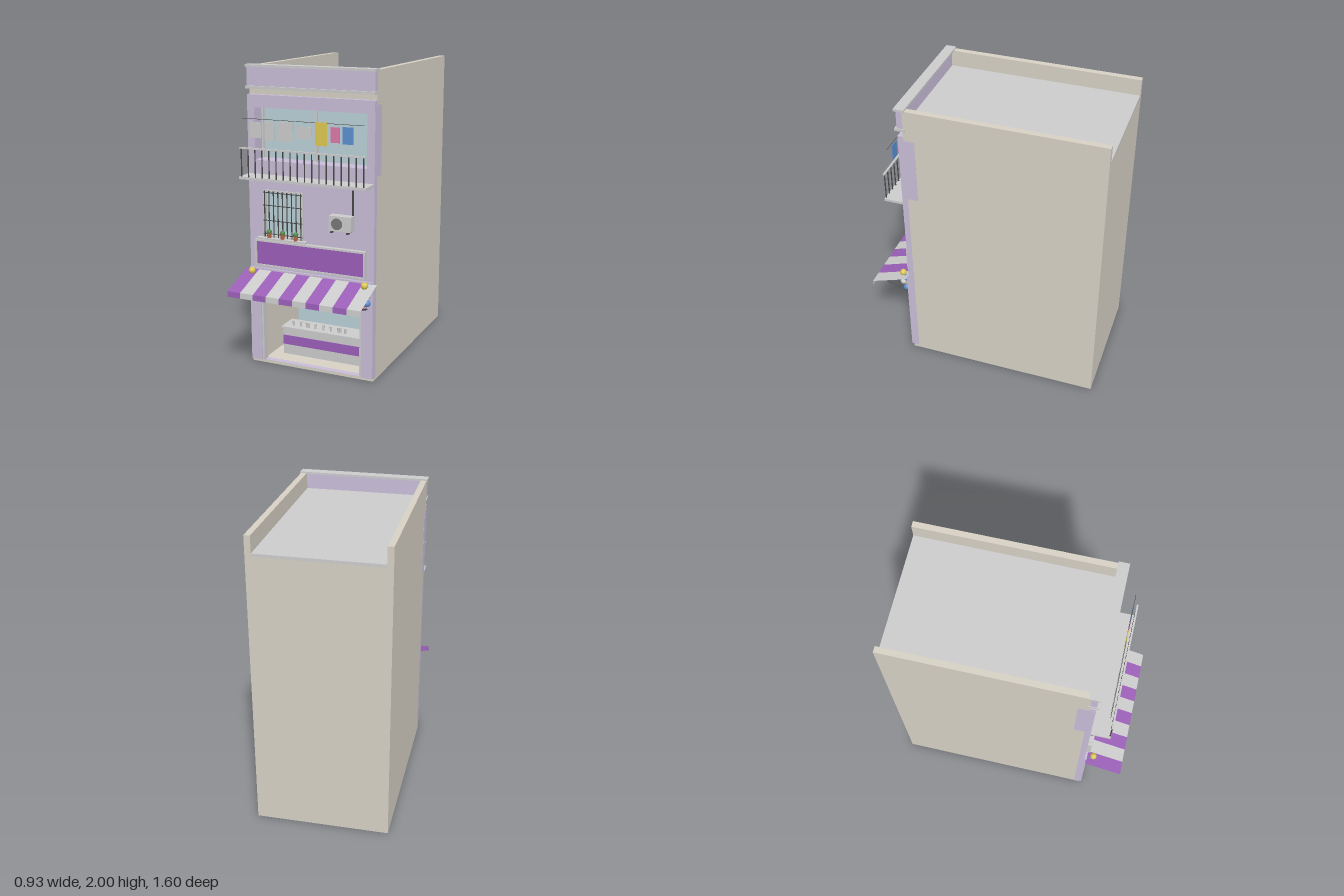
import * as THREE from 'three';

const GREY = 0xcccccc, BEIGE = 0xd6d0c4, LILAC = 0xc8bdd8, PURPLE = 0x9b5fb8, GLASS = 0xb9d0d6,
  DARK = 0x484848, YELLOW = 0xdcc850, PINK = 0xdc78a8, BLUE = 0x5a8fd0;
const mats = {};
function mat(color, double = false) {
  const key = color + (double ? 'd' : '');
  return mats[key] ??= new THREE.MeshStandardMaterial({ color, side: double ? THREE.DoubleSide : THREE.FrontSide });
}

export function createModel() {
  const root = new THREE.Group();
  let target = root;

  function add(name, geo, color, double) {
    const m = new THREE.Mesh(geo, mat(color, double));
    m.name = name;
    target.add(m);
    return m;
  }
  // box given by its extents
  function box(name, color, x0, x1, y0, y1, z0, z1) {
    const m = add(name, new THREE.BoxGeometry(x1 - x0, y1 - y0, z1 - z0), color);
    m.position.set((x0 + x1) / 2, (y0 + y1) / 2, (z0 + z1) / 2);
    return m;
  }
  // round bar between two points
  function bar(name, color, a, b, r) {
    const p = new THREE.Vector3(...a), q = new THREE.Vector3(...b);
    const m = add(name, new THREE.CylinderGeometry(r, r, p.distanceTo(q), 8), color);
    m.position.copy(p).add(q).multiplyScalar(0.5);
    m.quaternion.setFromUnitVectors(new THREE.Vector3(0, 1, 0), q.sub(p).normalize());
    return m;
  }
  // rectangular ring of four bars facing +z
  function frame(name, color, x0, x1, y0, y1, z0, z1, t) {
    box(name, color, x0, x1, y1 - t, y1, z0, z1);
    box(name, color, x0, x1, y0, y0 + t, z0, z1);
    box(name, color, x0, x0 + t, y0 + t, y1 - t, z0, z1);
    box(name, color, x1 - t, x1, y0 + t, y1 - t, z0, z1);
  }
  function group(name, build) {
    target = new THREE.Group();
    target.name = name;
    root.add(target);
    build();
    target = root;
  }
  function rect(path, x0, x1, y0, y1) {
    path.moveTo(x0, y0).lineTo(x1, y0).lineTo(x1, y1).lineTo(x0, y1).closePath();
    return path;
  }

  group('building', () => {
    box('floorSlab', BEIGE, -0.44, 0.44, 0, 0.02, -0.8, 0.53);
    for (const s of [-1, 1]) {
      const a = s * 0.4, b = s * 0.44;
      box('sideWall', BEIGE, Math.min(a, b), Math.max(a, b), 0.02, 1.99, -0.8, 0.49);
    }
    box('backWall', BEIGE, -0.4, 0.4, 0.02, 1.86, -0.8, -0.76);
    box('roof', GREY, -0.4, 0.4, 1.86, 1.88, -0.8, 0.49);
    box('upperBand', BEIGE, -0.44, 0.44, 1.8, 1.85, 0.45, 0.495);
    box('cornice', GREY, -0.445, 0.445, 1.847, 1.865, 0.475, 0.545);
    box('parapet', LILAC, -0.44, 0.44, 1.865, 1.985, 0.49, 0.53);
    box('parapetCap', GREY, -0.445, 0.445, 1.985, 2, 0.475, 0.545);
  });

  group('facade', () => {
    // full wall with holes for the shop and both windows
    const wall = rect(new THREE.Shape(), -0.44, 0.44, 0.02, 1.81);
    wall.holes.push(rect(new THREE.Path(), -0.36, 0.36, 0.021, 0.64),
      rect(new THREE.Path(), -0.33, -0.05, 0.89, 1.195),
      rect(new THREE.Path(), -0.39, 0.39, 1.34, 1.78));
    add('wall', new THREE.ExtrudeGeometry(wall, { depth: 0.04, bevelEnabled: false }), LILAC).position.z = 0.49;
    for (const s of [-1, 1]) {
      const x = s * 0.4;
      box('pillar', LILAC, x - 0.04, x + 0.04, 0.02, 0.64, 0.495, 0.545);
      box('doorJamb', GREY, s * 0.355 - 0.008, s * 0.355 + 0.008, 0.02, 0.64, 0.49, 0.54);
    }
    box('lintel', LILAC, -0.44, 0.44, 0.64, 0.67, 0.495, 0.545);
  });

  group('shop', () => {
    box('backWall', BEIGE, -0.4, 0.4, 0.02, 0.66, -0.04, 0);
    box('ceiling', BEIGE, -0.4, 0.4, 0.64, 0.66, 0, 0.49);
    box('leftLining', BEIGE, 0.36, 0.4, 0.02, 0.64, 0, 0.49);
    box('rightLining', BEIGE, -0.4, -0.36, 0.02, 0.64, 0, 0.49);
    box('wainscot', GLASS, -0.36, 0.36, 0.02, 0.27, 0, 0.005);
    box('menuBoard', PURPLE, -0.22, 0.22, 0.335, 0.475, 0, 0.015);
    frame('menuFrame', GREY, -0.228, 0.222, 0.327, 0.48, 0, 0.02, 0.008);
    box('counter', GREY, -0.285, 0.285, 0.02, 0.205, 0.24, 0.38);
    box('counterStripe', PURPLE, -0.285, 0.285, 0.09, 0.155, 0.375, 0.384);
    box('counterTop', GREY, -0.295, 0.295, 0.205, 0.217, 0.23, 0.39);
    for (const x of [-0.225, -0.17, -0.125, -0.11, -0.06, 0, 0.055, 0.11, 0.125, 0.16]) {
      const cup = add('cup', new THREE.CylinderGeometry(0.009, 0.007, 0.035, 10), GREY);
      cup.position.set(x, 0.234, 0.34);
    }
  });

  group('upperWindow', () => {
    frame('reveal', LILAC, -0.441, 0.441, 1.339, 1.781, 0.42, 0.529, 0.052);
    box('glass', GLASS, -0.39, 0.39, 1.34, 1.78, 0.405, 0.422);
    frame('windowFrame', GREY, -0.39, 0.39, 1.34, 1.78, 0.42, 0.44, 0.014);
    box('mullion', GREY, -0.009, 0.009, 1.345, 1.775, 0.42, 0.44);
  });

  group('balcony', () => {
    box('slab', GREY, -0.437, 0.437, 1.283, 1.3, 0.53, 0.66);
    box('topRail', GREY, -0.43, 0.43, 1.48, 1.49, 0.648, 0.66);
    const n = 18;
    for (let i = 0; i < n; i++) {
      const x = -0.42 + 0.84 * i / (n - 1);
      bar('baluster', DARK, [x, 1.3, 0.654], [x, 1.482, 0.654], 0.0042);
    }
  });

  group('laundry', () => {
    bar('line', DARK, [-0.42, 1.67, 0.625], [0.41, 1.67, 0.625], 0.0015);
    // left, right, bottom, top, colour
    const clothes = [[-0.37, -0.29, 1.55, 1.65, GREY], [-0.265, -0.197, 1.54, 1.66, GREY],
      [-0.17, -0.07, 1.54, 1.66, GREY], [-0.042, 0.06, 1.565, 1.64, GREY], [0.085, 0.165, 1.53, 1.675, YELLOW],
      [0.19, 0.25, 1.555, 1.65, PINK], [0.27, 0.338, 1.55, 1.655, BLUE]];
    for (const [x0, x1, y0, y1, c] of clothes) box('garment', c, x0, x1, y0, y1, 0.623, 0.627);
  });

  group('barredWindow', () => {
    box('glass', GLASS, -0.33, -0.05, 0.89, 1.195, 0.49, 0.51);
    frame('windowFrame', GREY, -0.335, -0.047, 0.885, 1.2, 0.5, 0.538, 0.012);
    for (let i = 0; i < 9; i++) {
      const x = -0.32 + 0.0325 * i;
      bar('bar', DARK, [x, 0.89, 0.545], [x, 1.195, 0.545], 0.0038);
    }
    for (const y of [0.91, 1.0, 1.1, 1.185]) bar('crossBar', DARK, [-0.33, y, 0.545], [-0.05, y, 0.545], 0.003);
    box('sill', GREY, -0.37, -0.02, 0.872, 0.885, 0.53, 0.565);
    for (const x of [-0.287, -0.19, -0.095]) {
      add('pot', new THREE.CylinderGeometry(0.016, 0.012, 0.032, 12), 0xb8694a).position.set(x, 0.901, 0.55);
      add('plant', new THREE.SphereGeometry(0.017, 10, 8), 0x4f8a4a).position.set(x, 0.925, 0.55);
    }
  });

  group('airConditioner', () => {
    box('casing', GREY, 0.16, 0.31, 0.992, 1.09, 0.538, 0.595);
    const fan = add('fan', new THREE.CylinderGeometry(0.037, 0.037, 0.006, 24), 0x777777);
    fan.rotation.x = Math.PI / 2;
    fan.position.set(0.215, 1.04, 0.596);
    for (const x of [0.18, 0.29]) box('bracket', DARK, x - 0.006, x + 0.006, 0.982, 0.992, 0.53, 0.605);
    bar('pipe', DARK, [0.302, 1.05, 0.543], [0.302, 1.25, 0.543], 0.006);
  });

  group('signboard', () => {
    box('signPanel', PURPLE, -0.385, 0.385, 0.695, 0.865, 0.53, 0.553);
    frame('signFrame', GREY, -0.39, 0.39, 0.69, 0.868, 0.53, 0.56, 0.012);
  });

  group('awning', () => {
    // each stripe is a folded sheet: slope then hanging valance
    const w = 0.093, line = [[0.66, 0.54], [0.572, 0.798], [0.535, 0.8]];
    for (let i = 0; i < 10; i++) {
      const x = -0.465 + i * w;
      const pos = line.flatMap(([y, z]) => [x, y, z, x + w, y, z]);
      const geo = new THREE.BufferGeometry();
      geo.setAttribute('position', new THREE.Float32BufferAttribute(pos, 3));
      geo.setIndex([0, 2, 1, 1, 2, 3, 2, 4, 3, 3, 4, 5]);
      const flat = geo.toNonIndexed();
      flat.computeVertexNormals();
      add('stripe', flat, i % 2 ? GREY : PURPLE, true);
    }
    for (const s of [-1, 1]) bar('strut', DARK, [s * 0.4, 0.49, 0.54], [s * 0.4, 0.568, 0.795], 0.005);
  });

  group('balloons', () => {
    // offset from x = 0.4, height, depth, colour
    const bunch = [[0, 0.66, 0.588, YELLOW], [0.012, 0.63, 0.562, BLUE], [-0.012, 0.612, 0.59, PINK],
      [0.015, 0.595, 0.582, GREY], [-0.012, 0.57, 0.565, YELLOW], [0.008, 0.538, 0.565, BLUE],
      [-0.025, 0.515, 0.578, PINK]];
    for (const s of [-1, 1]) for (const [dx, y, z, c] of bunch) {
      const b = add('balloon', new THREE.SphereGeometry(0.023, 16, 12), c);
      b.position.set(s * (0.4 + dx), y, z);
    }
  });

  return root;
}
